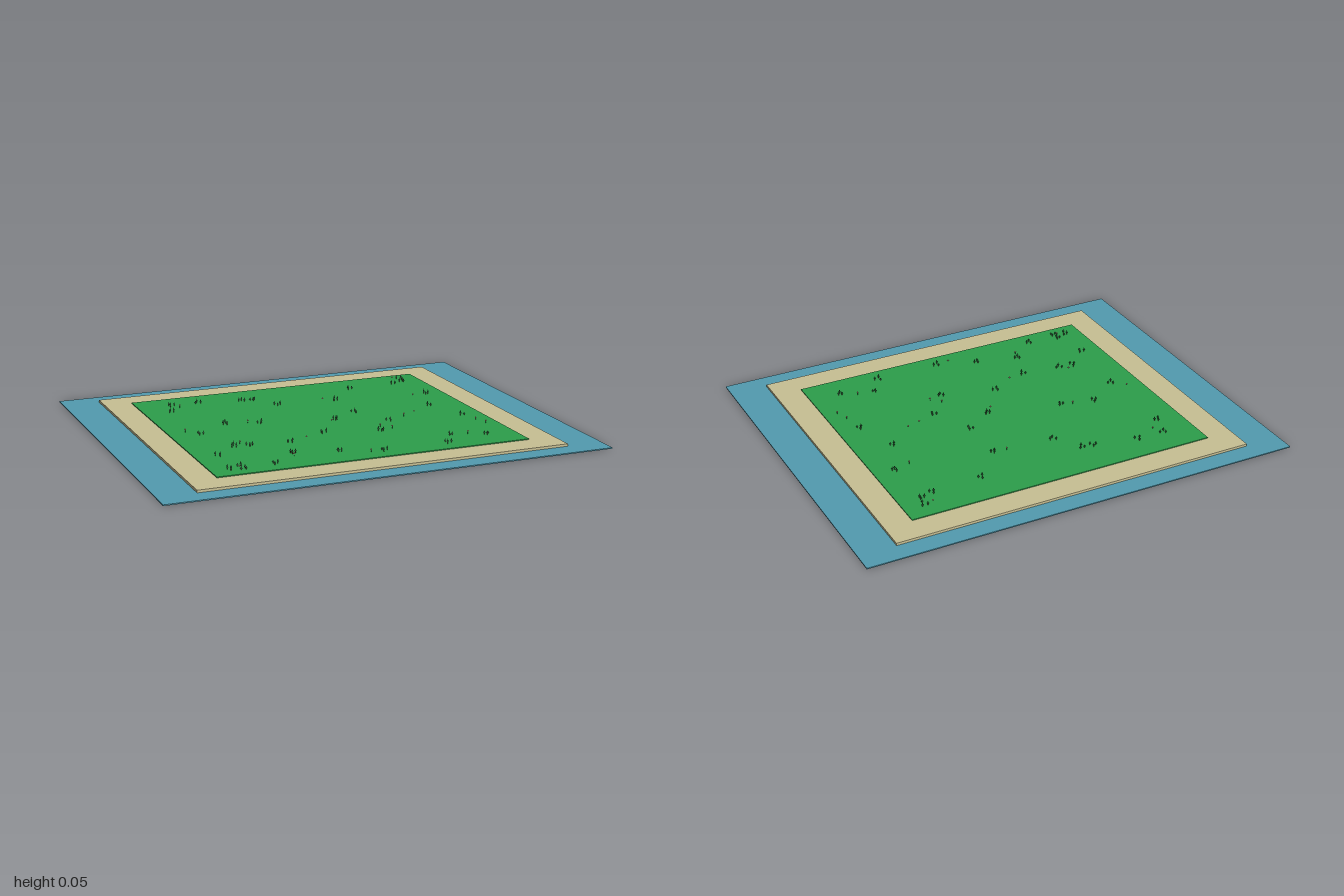
import * as THREE from 'three';

const mat = (name, color) => {
  const m = new THREE.MeshStandardMaterial({ color });
  m.name = name;
  return m;
};

// Centres of the small thickets and of the single flowers, as [x, z]
const THICKETS = [
  [-0.56, -0.48], [-0.43, -0.48], [-0.59, -0.38], [-0.23, -0.44], [-0.18, -0.43], [-0.1, -0.31],
  [0.18, -0.29], [0.32, -0.45], [0.55, -0.46], [0.62, -0.53], [0.61, -0.48], [0.62, -0.23],
  [0.54, -0.04], [-0.43, -0.1], [-0.28, -0.06], [-0.58, 0.01], [0.18, -0.07], [0.05, 0.02],
  [0.27, 0.12], [0.61, 0.16], [-0.51, 0.24], [-0.44, 0.25], [-0.26, 0.27], [-0.08, 0.19],
  [0.17, 0.26], [-0.61, 0.34], [-0.31, 0.42], [-0.12, 0.47], [0.06, 0.53], [0.36, 0.53],
  [0.42, 0.43], [0.57, 0.48], [-0.43, 0.53], [-0.63, 0.53], [-0.58, 0.51], [-0.57, 0.55],
];
const FLOWERS = [
  [-0.53, -0.44], [-0.33, -0.08], [-0.63, -0.05], [0.12, -0.3], [0.54, -0.21], [0.42, 0.06],
  [0.36, 0.08], [0.02, 0.05], [0.63, 0.26], [0.65, 0.32], [-0.18, 0.25], [-0.47, 0.21],
  [0.19, 0.2], [0.23, 0.24], [-0.32, 0.46], [0.5, 0.44], [-0.59, 0.54], [0, 0.53], [0.58, -0.53],
];

export function createModel() {
  const island = new THREE.Group();
  island.name = 'island';

  const water = mat('water blue', 0x529bb0);
  const sand = mat('sand', 0xc8c094);
  const grass = mat('grass green', 0x2d9f4b);
  const leaf = mat('leaf green', 0x1f6b35);
  const bark = mat('bark brown', 0x5e4630);
  const petal = mat('petal pink', 0xd99a8c);

  const add = (parent, name, geometry, material, x, y, z) => {
    const mesh = new THREE.Mesh(geometry, material);
    mesh.name = name;
    mesh.position.set(x, y, z);
    parent.add(mesh);
    return mesh;
  };
  const slab = (name, w, d, y0, y1, material) =>
    add(island, name, new THREE.BoxGeometry(w, y1 - y0, d), material, 0, (y0 + y1) / 2, 0);

  // Stepped ground: sea, beach, meadow
  slab('sea', 2, 1.63, 0.001, 0.006, water);
  slab('beach', 1.666, 1.452, 0, 0.017, sand);
  slab('meadow', 1.42, 1.214, 0.012, 0.021, grass);

  let seed = 7;
  const random = () => (seed = (seed * 16807) % 2147483647) / 2147483647;

  const trunkGeo = new THREE.CylinderGeometry(0.0012, 0.0015, 0.01, 5);
  const crownGeo = new THREE.ConeGeometry(0.0045, 0.014, 6);
  const stemGeo = new THREE.CylinderGeometry(0.0008, 0.0008, 0.012, 4);
  const blossomGeo = new THREE.IcosahedronGeometry(0.004, 0);

  // Thickets of three tiny trees
  for (const [x, z] of THICKETS) {
    const thicket = new THREE.Group();
    thicket.name = 'thicket';
    thicket.position.set(x, 0.021, z);
    const turn = random() * Math.PI * 2;
    for (let i = 0; i < 3; i++) {
      const a = turn + i * 2.1;
      const r = 0.007 + random() * 0.01;
      const tree = new THREE.Group();
      tree.name = 'tree';
      tree.position.set(Math.cos(a) * r, 0, Math.sin(a) * r);
      tree.scale.y = 0.65 + random() * 0.4;
      add(tree, 'trunk', trunkGeo, bark, 0, 0.005, 0);
      add(tree, 'crown', crownGeo, leaf, 0, 0.016, 0);
      thicket.add(tree);
    }
    island.add(thicket);
  }

  // Single flowers
  for (const [x, z] of FLOWERS) {
    const flower = new THREE.Group();
    flower.name = 'flower';
    flower.position.set(x, 0.021, z);
    add(flower, 'stem', stemGeo, leaf, 0, 0.006, 0);
    add(flower, 'blossom', blossomGeo, petal, 0, 0.013, 0);
    island.add(flower);
  }
  return island;
}
